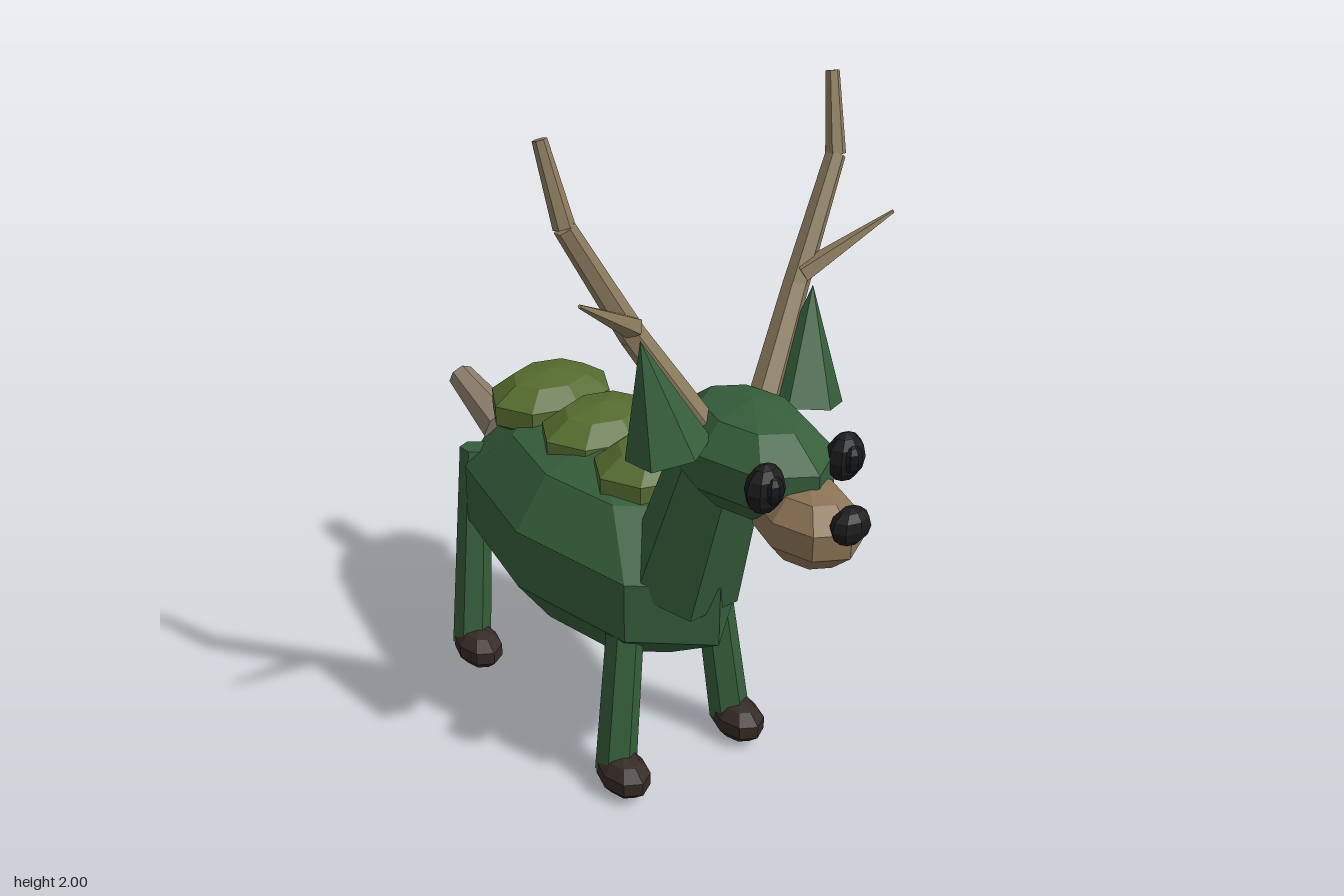
import * as THREE from 'three';

const mat = (color) => new THREE.MeshStandardMaterial({ color, flatShading: true });

export function createModel() {
  const root = new THREE.Group();
  const green = mat(0x355e3b), moss = mat(0x556b2f), tan = mat(0x8b7355);
  const horn = mat(0x8b7b5e), bone = mat(0x8b7d6b), hoof = mat(0x352a25), black = mat(0x1a1a1a);
  const gloss = mat(0x10151a);

  const add = (name, geo, material, parent = root) => {
    const mesh = new THREE.Mesh(geo, material);
    mesh.name = name;
    parent.add(mesh);
    return mesh;
  };

  // Faceted ellipsoid at c with radii r
  const blob = (name, c, r, material, parent, w = 8, h = 5) => {
    const m = add(name, new THREE.SphereGeometry(1, w, h), material, parent);
    m.scale.set(...r);
    m.position.set(...c);
    return m;
  };

  // Tapered prism running from a (radius ra) to b (radius rb)
  const limb = (name, a, b, ra, rb, material, parent, sides = 6, spin = 0) => {
    const A = new THREE.Vector3(...a), B = new THREE.Vector3(...b);
    const d = B.clone().sub(A);
    const geo = new THREE.CylinderGeometry(rb, ra, d.length(), sides);
    geo.rotateY(spin);
    const m = add(name, geo, material, parent);
    m.position.copy(A).add(B).multiplyScalar(0.5);
    m.quaternion.setFromUnitVectors(new THREE.Vector3(0, 1, 0), d.normalize());
    return m;
  };

  // Trunk, neck and tail
  blob('body', [0, 0.6, -0.16], [0.295, 0.3, 0.6], green);
  limb('neck', [0, 0.65, 0.25], [0, 1.12, 0.4], 0.165, 0.125, green, root, 6, Math.PI / 6);
  limb('tail', [0, 0.725, -0.66], [0, 0.805, -0.9], 0.067, 0.042, bone, root, 7);

  // Moss mounds along the back, set off to the left
  [0.025, -0.235, -0.505].forEach((z, i) =>
    blob('mossMound' + (i + 1), [0.08, 0.865, z], [0.209, 0.1, 0.162], moss));

  // Head
  const head = new THREE.Group();
  head.name = 'head';
  root.add(head);
  blob('skull', [0, 1.16, 0.51], [0.18, 0.15, 0.268], green, head);
  blob('muzzle', [0, 1.068, 0.73], [0.122, 0.11, 0.163], tan, head);
  blob('nose', [0, 1.125, 0.877], [0.058, 0.05, 0.04], black, head, 8, 6);

  for (const s of [1, -1]) {
    const side = s > 0 ? 'left' : 'right';

    // Eyes
    blob(side + 'Eye', [s * 0.13, 1.196, 0.714], [0.057, 0.066, 0.042], black, head, 8, 6);
    blob(side + 'Pupil', [s * 0.127, 1.2, 0.74], [0.03, 0.04, 0.025], gloss, head, 8, 6);

    // Ears
    limb(side + 'Ear', [s * 0.218, 1.215, 0.452], [s * 0.275, 1.51, 0.412], 0.11, 0, green, head);

    // Antlers: three jointed lengths and a tine
    const antler = new THREE.Group();
    antler.name = side + 'Antler';
    head.add(antler);
    const pts = [[0.11, 1.25, 0.43], [0.26, 1.5, 0.365], [0.42, 1.8, 0.315], [0.445, 2, 0.26]]
      .map(([x, y, z]) => [s * x, y, z]);
    const radii = [0.042, 0.035, 0.027, 0.018];
    for (let i = 0; i < 3; i++)
      limb('antlerLength' + (i + 1), pts[i], pts[i + 1], radii[i], radii[i + 1], horn, antler);
    limb('antlerTine', [s * 0.27, 1.53, 0.375], [s * 0.487, 1.677, 0.468], 0.03, 0.005, horn, antler, 5);

    // Legs and hooves
    for (const [end, topZ, lowZ, footZ] of [['Front', 0.18, 0.22, 0.257], ['Hind', -0.605, -0.555, -0.517]]) {
      limb(side + end + 'Leg', [s * 0.212, 0.06, lowZ], [s * 0.132, 0.72, topZ], 0.06, 0.05, green);
      blob(side + end + 'Hoof', [s * 0.212, 0.065, footZ], [0.07, 0.065, 0.098], hoof);
    }
  }
  return root;
}
